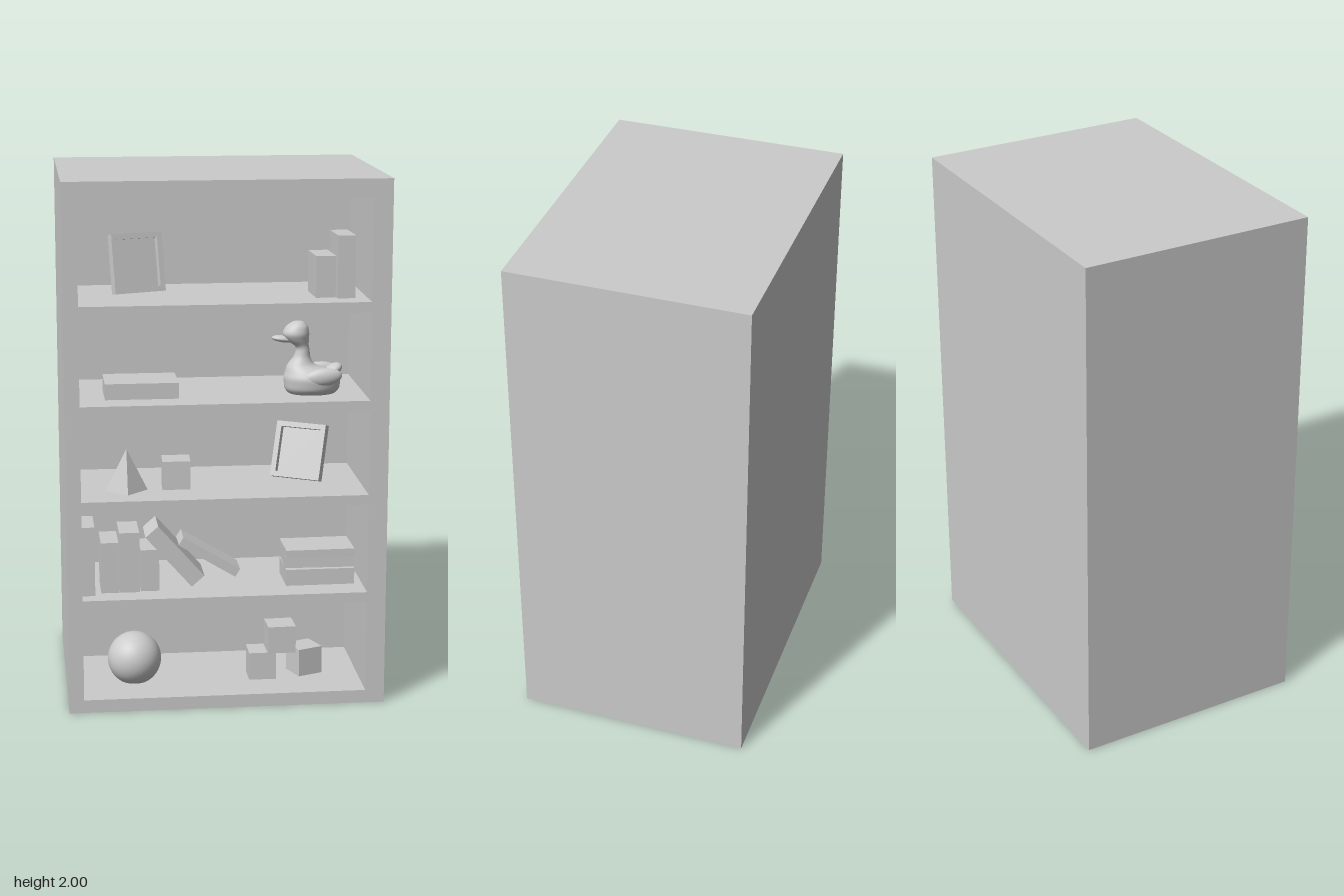
import * as THREE from 'three';

const mat = new THREE.MeshStandardMaterial({ color: 0xcccccc });
const flat = new THREE.MeshStandardMaterial({ color: 0xcccccc, flatShading: true });

// Floor and ceiling height of each compartment, bottom to top
const bays = [[0.05, 0.404], [0.441, 0.784], [0.821, 1.138], [1.181, 1.511], [1.55, 1.93]];
const LEFT = -0.544, RIGHT = 0.528, BACK = -0.04, FRONT = 0.45;

function add(parent, name, geo, x = 0, y = 0, z = 0, material = mat) {
  const m = new THREE.Mesh(geo, material);
  m.name = name;
  m.position.set(x, y, z);
  parent.add(m);
  return m;
}

// Box given by its x range, y range, front z and depth, turned about y or z
function block(parent, name, x0, x1, y0, y1, zFront, depth, ry = 0, rz = 0) {
  const m = add(parent, name, new THREE.BoxGeometry(x1 - x0, y1 - y0, depth),
    (x0 + x1) / 2, (y0 + y1) / 2, zFront - depth / 2);
  m.rotation.set(0, ry, rz);
  return m;
}

function rect(path, x0, x1, y0, y1) {
  path.moveTo(x0, y0);
  path.lineTo(x1, y0);
  path.lineTo(x1, y1);
  path.lineTo(x0, y1);
  path.closePath();
  return path;
}

// Cabinet: one front with five openings, closed by a deep back
function cabinet() {
  const g = new THREE.Group();
  g.name = 'cabinet';
  const shape = rect(new THREE.Shape(), -0.6, 0.6, 0, 2);
  for (const [a, b] of bays) shape.holes.push(rect(new THREE.Path(), LEFT, RIGHT, a, b));
  add(g, 'shelfCarcass', new THREE.ExtrudeGeometry(shape, { depth: FRONT - BACK, bevelEnabled: false }), 0, 0, BACK);
  block(g, 'cabinetBack', -0.6, 0.6, 0, 2, BACK, BACK + 0.45);
  return g;
}

// Picture frame standing on its lower edge, turned by ry and leaning back
function pictureFrame(w, h, x, y, z, ry, lean) {
  const g = new THREE.Group();
  g.name = 'pictureFrame';
  const t = 0.02, d = 0.035;
  const s = rect(new THREE.Shape(), -w / 2, w / 2, 0, h);
  s.holes.push(rect(new THREE.Path(), -w / 2 + t, w / 2 - t, t, h - t));
  add(g, 'frameBorder', new THREE.ExtrudeGeometry(s, { depth: d, bevelEnabled: false }), 0, 0, -d / 2);
  add(g, 'framePanel', new THREE.BoxGeometry(w - t, h - t, 0.01), 0, h / 2, -d / 2 + 0.006);
  g.position.set(x, y, z);
  g.rotation.set(-lean, ry, 0, 'YXZ');
  return g;
}

// Smooth skin over horizontal ellipses: [y, centre x, radius x, radius z]
function loft(rings, steps, sides) {
  const a = new THREE.CatmullRomCurve3(rings.map(r => new THREE.Vector3(r[0], r[1], 0)));
  const b = new THREE.CatmullRomCurve3(rings.map(r => new THREE.Vector3(r[2], r[3], 0)));
  const pos = [], idx = [];
  for (let i = 0; i <= steps; i++) {
    const c = a.getPoint(i / steps), r = b.getPoint(i / steps);
    for (let j = 0; j < sides; j++) {
      const t = (j / sides) * Math.PI * 2;
      pos.push(c.y + Math.max(r.x, 0) * Math.cos(t), c.x, Math.max(r.y, 0) * Math.sin(t));
      if (i === steps) continue;
      const k = (j + 1) % sides, p = i * sides, q = p + sides;
      idx.push(p + j, q + j, p + k, p + k, q + j, q + k);
    }
  }
  const geo = new THREE.BufferGeometry();
  geo.setAttribute('position', new THREE.Float32BufferAttribute(pos, 3));
  geo.setIndex(idx);
  geo.computeVertexNormals();
  return geo;
}

// Toy duck facing the right end of the shelf
function duck(z) {
  const g = new THREE.Group();
  g.name = 'toyDuck';
  const ball = new THREE.SphereGeometry(1, 28, 18);
  add(g, 'duckBodyAndHead', loft([
    [1.181, 0.333, 0, 0], [1.183, 0.333, 0.085, 0.06], [1.205, 0.333, 0.104, 0.08],
    [1.24, 0.332, 0.107, 0.085], [1.27, 0.322, 0.09, 0.07], [1.292, 0.292, 0.052, 0.045],
    [1.325, 0.295, 0.03, 0.03], [1.357, 0.296, 0.025, 0.027], [1.385, 0.278, 0.042, 0.038],
    [1.41, 0.271, 0.05, 0.046], [1.437, 0.275, 0.041, 0.038], [1.454, 0.279, 0.02, 0.02],
    [1.458, 0.28, 0, 0]], 48, 32), 0, 0, z);
  const beak = add(g, 'duckBeak', ball, 0.223, 1.39, z);
  beak.scale.set(0.044, 0.013, 0.024);
  beak.rotation.z = -0.12;
  const tail = add(g, 'duckTail', ball, 0.41, 1.268, z);
  tail.scale.set(0.04, 0.022, 0.04);
  tail.rotation.z = 0.5;
  for (const s of [-1, 1]) {
    const wing = add(g, 'duckWing', ball, 0.365, 1.253, z + s * 0.066);
    wing.scale.set(0.072, 0.034, 0.024);
    wing.rotation.z = 0.1;
  }
  return g;
}

export function createModel() {
  const root = new THREE.Group();
  root.name = 'bookcase';
  root.add(cabinet());
  const [f1, f2, f3, f4, f5] = bays.map(b => b[0]);

  // Bottom shelf: ball and building blocks
  add(root, 'ball', new THREE.SphereGeometry(0.103, 40, 28), -0.34, 0.137, 0.237);
  block(root, 'toyBlock', 0.1, 0.205, f1, 0.158, 0.295, 0.106);
  block(root, 'toyBlock', 0.274, 0.376, f1, 0.158, 0.263, 0.102, 0.38);
  block(root, 'toyBlock', 0.171, 0.278, 0.158, 0.264, 0.304, 0.106, 0.04);

  // Second shelf: upright, leaning and stacked books
  for (const [x0, x1, top, z] of [
    [-0.544, -0.494, 0.708, 0.39], [-0.47, -0.404, 0.637, 0.36],
    [-0.401, -0.325, 0.674, 0.36], [-0.32, -0.25, 0.602, 0.35]])
    block(root, 'uprightBook', x0, x1, f2, top, z, 0.16);
  block(root, 'leaningBook', -0.322, -0.058, 0.541, 0.605, 0.35, 0.15, 0, -0.85);
  block(root, 'leaningBook', -0.18, 0.074, 0.529, 0.565, 0.285, 0.12, 0, -0.545);
  block(root, 'stackedBook', 0.234, 0.497, f2, 0.504, 0.34, 0.18, 0.01);
  block(root, 'stackedBook', 0.236, 0.499, 0.504, 0.55, 0.32, 0.17, -0.02);
  block(root, 'stackedBook', 0.234, 0.497, 0.55, 0.579, 0.335, 0.17, 0.02);

  // Middle shelf: pyramid, cube and leaning frame
  add(root, 'pyramid', new THREE.ConeGeometry(0.079, 0.16, 4), -0.366, f3 + 0.08, 0.285, flat);
  block(root, 'cube', -0.23, -0.124, f3, 0.93, 0.3, 0.107, -0.04);
  root.add(pictureFrame(0.2, 0.215, 0.288, f3 + 0.005, 0.2, -0.52, 0.35));

  // Fourth shelf: flat box and duck
  block(root, 'flatBox', -0.446, -0.172, f4, 1.241, 0.34, 0.19);
  root.add(duck(0.29));

  // Top shelf: frame and two books
  root.add(pictureFrame(0.205, 0.222, -0.305, f5 + 0.003, 0.17, 0.35, 0.17));
  block(root, 'uprightBook', 0.335, 0.408, f5, 1.705, 0.337, 0.16, 0.04);
  block(root, 'uprightBook', 0.412, 0.478, f5, 1.783, 0.36, 0.16, 0.04);
  return root;
}
